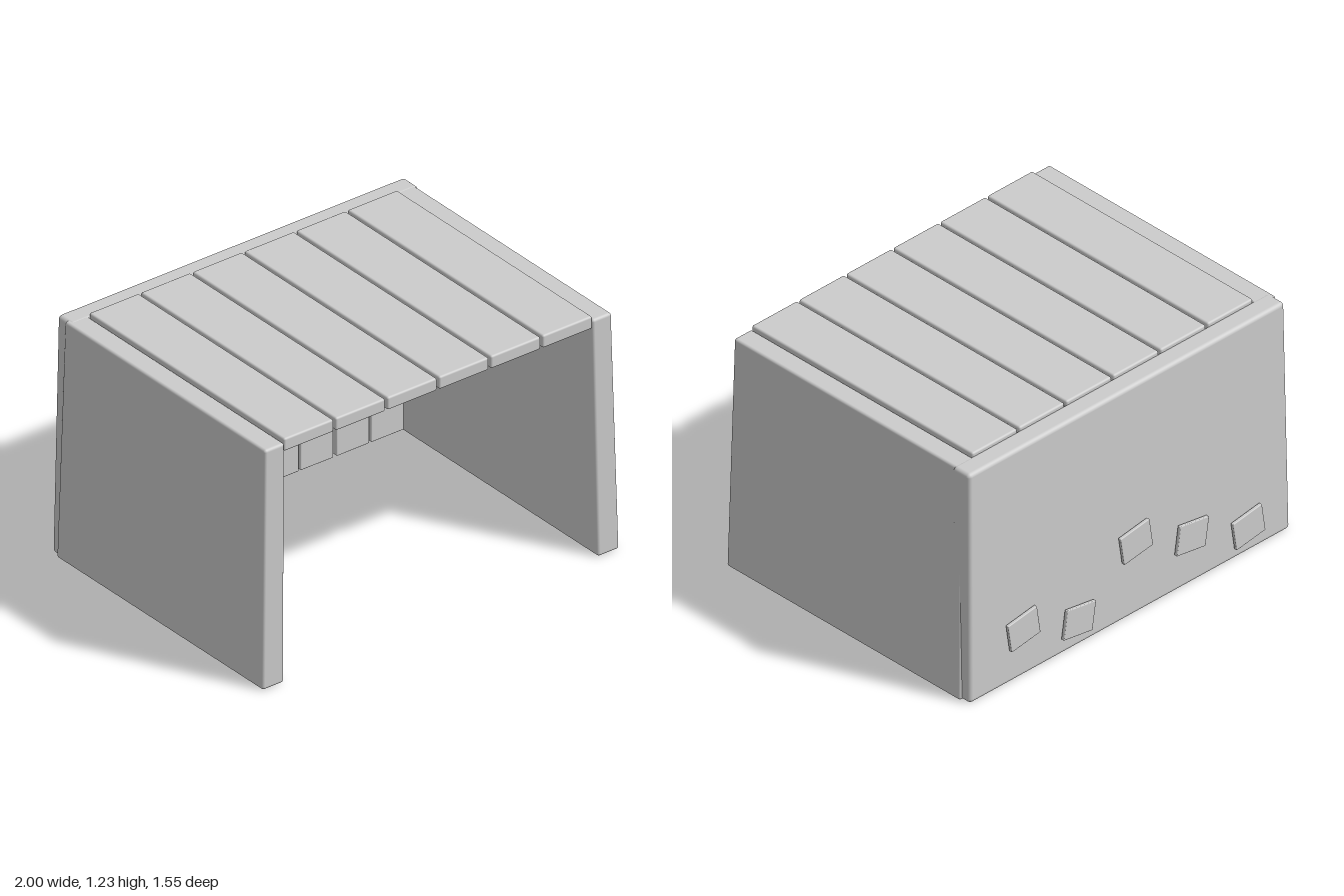
import * as THREE from 'three';
import { RoundedBoxGeometry } from 'three/addons/geometries/RoundedBoxGeometry.js';

const grey = new THREE.MeshStandardMaterial({ color: 0xcccccc });
grey.name = 'lightGrey';

const lerp = THREE.MathUtils.lerp;

// Rounded box given by its lower and upper rectangles, each [x0, x1, z0, z1]
function taperedSlab(name, y0, y1, low, high, radius) {
  const geo = new RoundedBoxGeometry(
    low[1] - low[0], y1 - y0, low[3] - low[2], 3, radius);
  const p = geo.attributes.position;
  const w = low[1] - low[0], d = low[3] - low[2];
  for (let i = 0; i < p.count; i++) {
    const t = p.getY(i) / (y1 - y0) + 0.5;
    const u = p.getX(i) / w + 0.5;
    const v = p.getZ(i) / d + 0.5;
    p.setXYZ(i,
      lerp(lerp(low[0], high[0], t), lerp(low[1], high[1], t), u),
      lerp(y0, y1, t),
      lerp(lerp(low[2], high[2], t), lerp(low[3], high[3], t), v));
  }
  const mesh = new THREE.Mesh(geo, grey);
  mesh.name = name;
  return mesh;
}

// Rounded box by size and centre
function block(name, size, centre, radius, tilt = 0) {
  const mesh = new THREE.Mesh(new RoundedBoxGeometry(...size, 2, radius), grey);
  mesh.name = name;
  mesh.position.set(...centre);
  mesh.rotation.z = tilt;
  return mesh;
}

export function createModel() {
  const model = new THREE.Group();
  model.name = 'openShelter';

  // Side walls, leaning slightly inwards
  model.add(taperedSlab('leftWall', 0, 1.21,
    [0.88, 1.0, -0.70, 0.775], [0.863, 0.97, -0.675, 0.758], 0.014));
  model.add(taperedSlab('rightWall', 0, 1.21,
    [-1.0, -0.88, -0.70, 0.775], [-0.973, -0.863, -0.675, 0.758], 0.014));

  // Back wall
  model.add(taperedSlab('backWall', 0, 1.212,
    [-0.985, 0.987, -0.75, -0.64], [-0.965, 0.979, -0.737, -0.63], 0.02));

  // Upright boards lining the back wall, leaning alternately
  const lining = new THREE.Group();
  lining.name = 'backLining';
  for (let i = 0; i < 9; i++) {
    const lean = i % 2 ? 0.004 : -0.004;
    lining.add(block('liningBoard', [0.183, 1.16, 0.04],
      [(i - 4) * 0.198, 0.59, -0.632], 0.005, lean));
  }
  model.add(lining);

  // Roof: two cross beams carrying six planks
  const roof = new THREE.Group();
  roof.name = 'roof';
  for (const z of [-0.30, 0.51]) {
    roof.add(block('crossBeam', [1.74, 0.055, 0.1], [0, 1.1475, z], 0.005));
  }
  for (let i = 0; i < 6; i++) {
    roof.add(block('roofPlank', [0.277, 0.065, 1.395],
      [(i - 2.5) * 0.29, 1.1975, 0.0575], 0.01));
  }
  model.add(roof);

  // Small tilted plates on the outside of the back wall: x, y, tilt
  const plates = [
    [0.675, 0.265, -0.15], [0.333, 0.148, 0.15], [-0.018, 0.4, -0.15],
    [-0.363, 0.265, 0.15], [-0.71, 0.148, -0.15],
  ];
  for (const [x, y, tilt] of plates) {
    model.add(block('backPlate', [0.18, 0.15, 0.018], [x, y, -0.766], 0.004, tilt));
  }

  return model;
}
